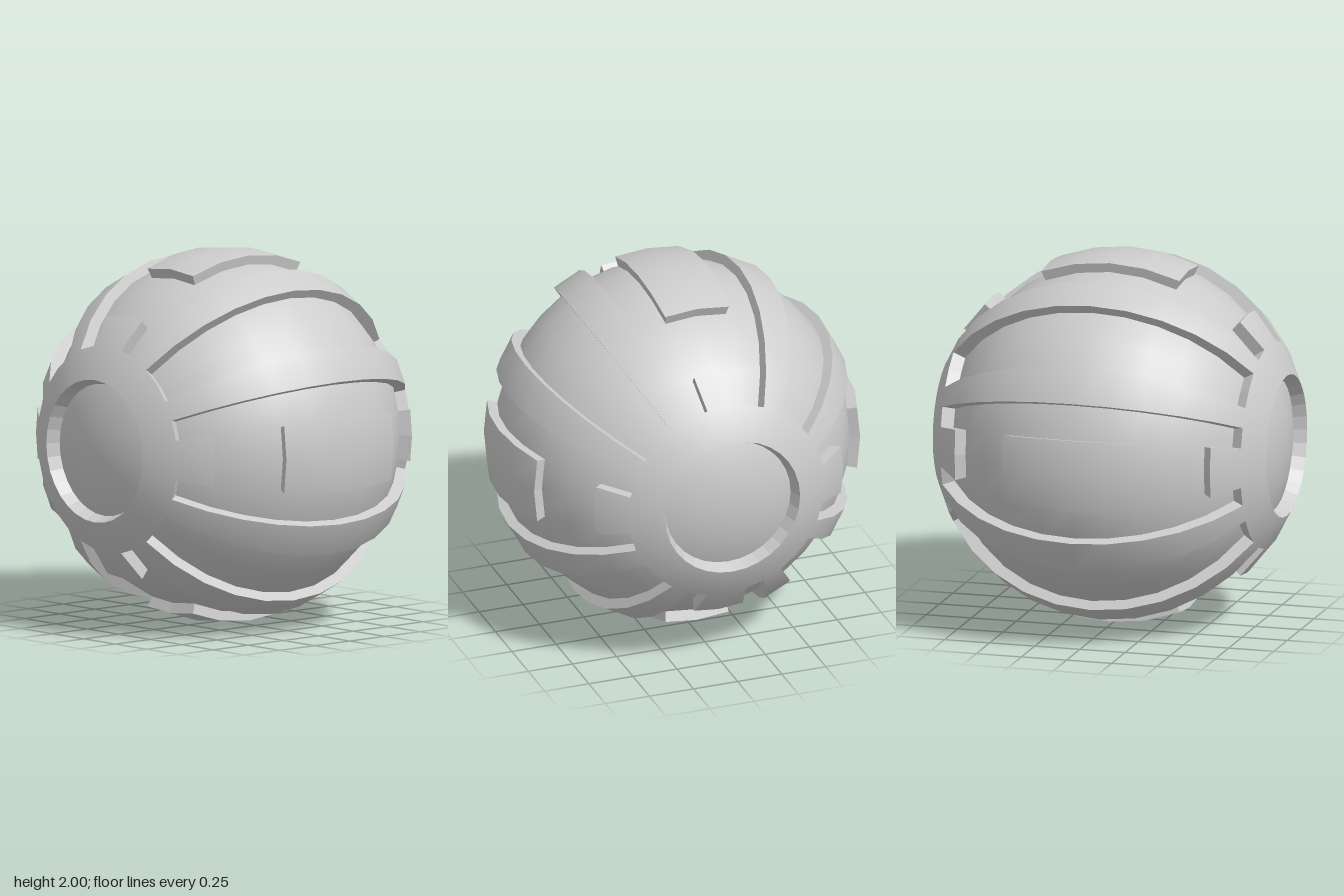
import * as THREE from 'three';

const SLICES = 32, RINGS = 16;   // shared grid of 11.25 degree cells
const OUTER = 1, INNER = 0.925;

// Point on a sphere whose poles lie on the z axis
function dir(i, j) {
  const a = (i / SLICES) * Math.PI * 2, p = (j / RINGS) * Math.PI;
  return new THREE.Vector3(Math.sin(p) * Math.cos(a), Math.sin(p) * Math.sin(a), Math.cos(p));
}

// Raised shell over every grid cell the test accepts, with walls along its borders
function raisedShell(test) {
  const pos = [], nor = [];
  const has = (i, j) => j >= 0 && j < RINGS && test((i + SLICES) % SLICES, j);
  const quad = (pts, normals) => {
    for (const k of [0, 1, 2, 0, 2, 3]) {
      pos.push(...pts[k].toArray());
      nor.push(...normals[k].toArray());
    }
  };
  const wall = (a, b) => {
    const pts = [a.clone().multiplyScalar(OUTER), a.clone().multiplyScalar(INNER),
      b.clone().multiplyScalar(INNER), b.clone().multiplyScalar(OUTER)];
    const n = new THREE.Vector3().crossVectors(
      pts[1].clone().sub(pts[0]), pts[2].clone().sub(pts[0])).normalize();
    quad(pts, [n, n, n, n]);
  };
  for (let j = 0; j < RINGS; j++) {
    for (let i = 0; i < SLICES; i++) {
      if (!has(i, j)) continue;
      // Corners run anticlockwise as seen from outside
      const c = [dir(i, j), dir(i, j + 1), dir(i + 1, j + 1), dir(i + 1, j)];
      quad(c.map((v) => v.clone().multiplyScalar(OUTER)), c);
      const open = [!has(i - 1, j), !has(i, j + 1), !has(i + 1, j), !has(i, j - 1)];
      open.forEach((o, k) => { if (o) wall(c[k], c[(k + 1) % 4]); });
    }
  }
  const g = new THREE.BufferGeometry();
  g.setAttribute('position', new THREE.Float32BufferAttribute(pos, 3));
  g.setAttribute('normal', new THREE.Float32BufferAttribute(nor, 3));
  return g;
}

export function createModel() {
  const grey = new THREE.MeshStandardMaterial({ color: 0xcccccc });
  grey.name = 'plain grey';

  const group = new THREE.Group();
  group.name = 'armouredBall';
  const add = (name, geometry) => {
    const mesh = new THREE.Mesh(geometry, grey);
    mesh.name = name;
    mesh.position.y = 1;
    group.add(mesh);
  };

  // Inner ball, slightly flattened towards the two open ends
  const core = new THREE.SphereGeometry(1, SLICES, RINGS);
  core.rotateX(Math.PI / 2);
  core.scale(0.948, 0.948, 0.922);
  add('innerBall', core);

  // End collars, short teeth and the paired ribs that join the collars
  add('ribbedFrame', raisedShell((i, j) => {
    const k = i % 8, m = Math.min(j, RINGS - 1 - j);
    const collar = m === 2;
    const tooth = m === 3 && (k === 0 || k === 7);
    const rib = m >= 3 && (k === 2 || k === 5);
    return collar || tooth || rib;
  }));

  // Four rectangular plates around the middle
  for (let q = 0; q < 4; q++) {
    add(['leftPlate', 'topPlate', 'rightPlate', 'bottomPlate'][q], raisedShell((i, j) =>
      j >= 6 && j <= 9 && (i === q * 8 || i === (q * 8 + 31) % 32)));
  }
  return group;
}
